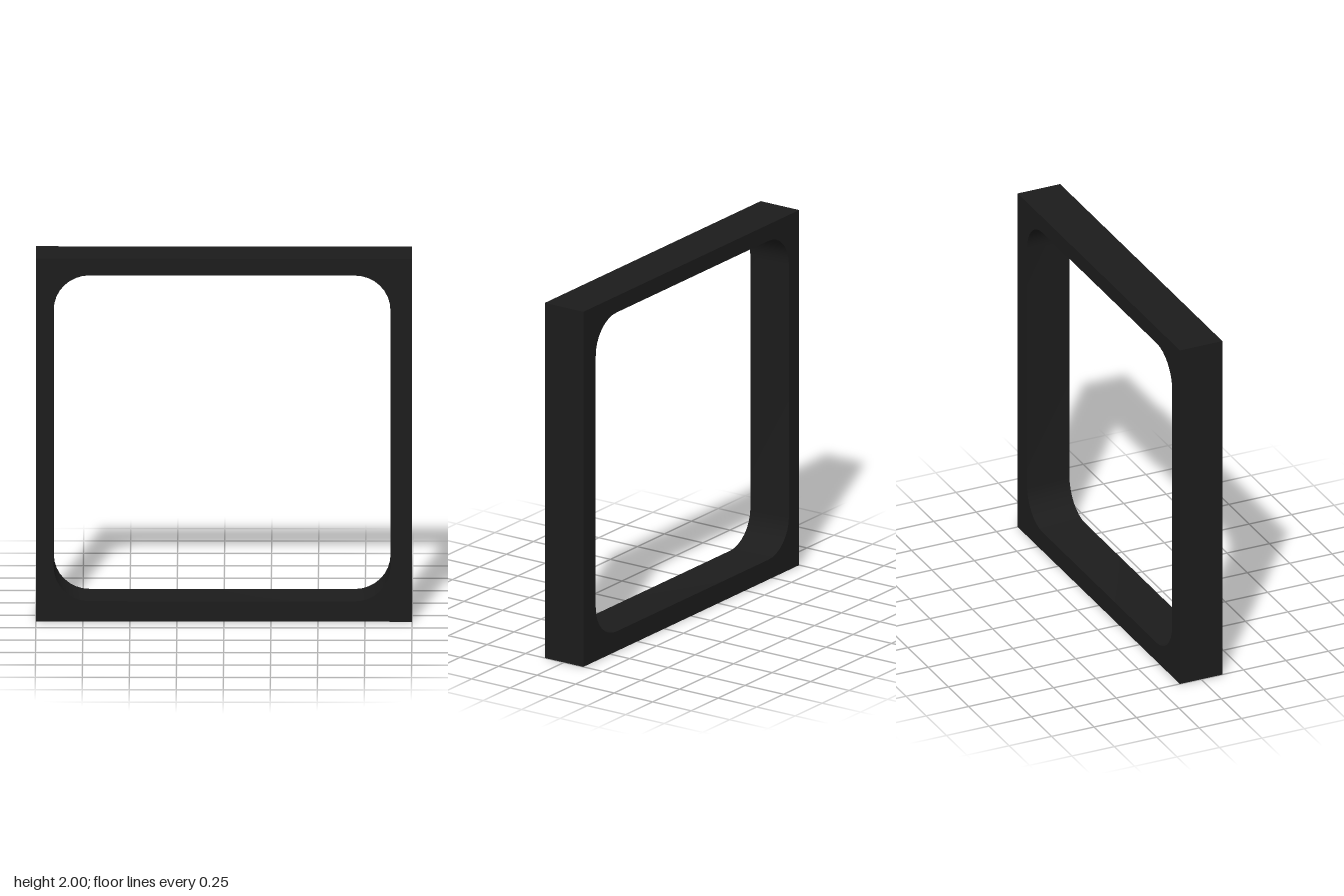
import * as THREE from 'three';
import { toCreasedNormals } from 'three/addons/utils/BufferGeometryUtils.js';

const DEPTH = 0.25;

// Rounded rectangular opening, traced counter-clockwise
function roundedOpening(left, right, bottom, top, r) {
  const path = new THREE.Path();
  const q = Math.PI / 2;
  const corners = [
    [right - r, top - r], [left + r, top - r],
    [left + r, bottom + r], [right - r, bottom + r],
  ];
  path.moveTo(right, top - r);
  corners.forEach(([x, y], i) => path.absarc(x, y, r, i * q, (i + 1) * q, false));
  path.closePath();
  return path;
}

export function createModel() {
  const model = new THREE.Group();
  model.name = 'squareFrame';

  // Square outer edge with a slightly off-centre opening
  const outline = new THREE.Shape([
    new THREE.Vector2(-1, 0), new THREE.Vector2(1, 0),
    new THREE.Vector2(1, 2), new THREE.Vector2(-1, 2),
  ]);
  outline.holes.push(roundedOpening(-0.905, 0.885, 0.112, 1.908, 0.19));

  const geometry = new THREE.ExtrudeGeometry(outline, {
    depth: DEPTH, bevelEnabled: false, curveSegments: 4,
  });
  geometry.translate(0, 0, -DEPTH / 2);

  // Smooth inner corners, sharp outer edges
  const frame = new THREE.Mesh(
    toCreasedNormals(geometry, 0.6),
    new THREE.MeshStandardMaterial({ color: 0x1c1c1c })
  );
  frame.name = 'frame';
  model.add(frame);
  return model;
}
